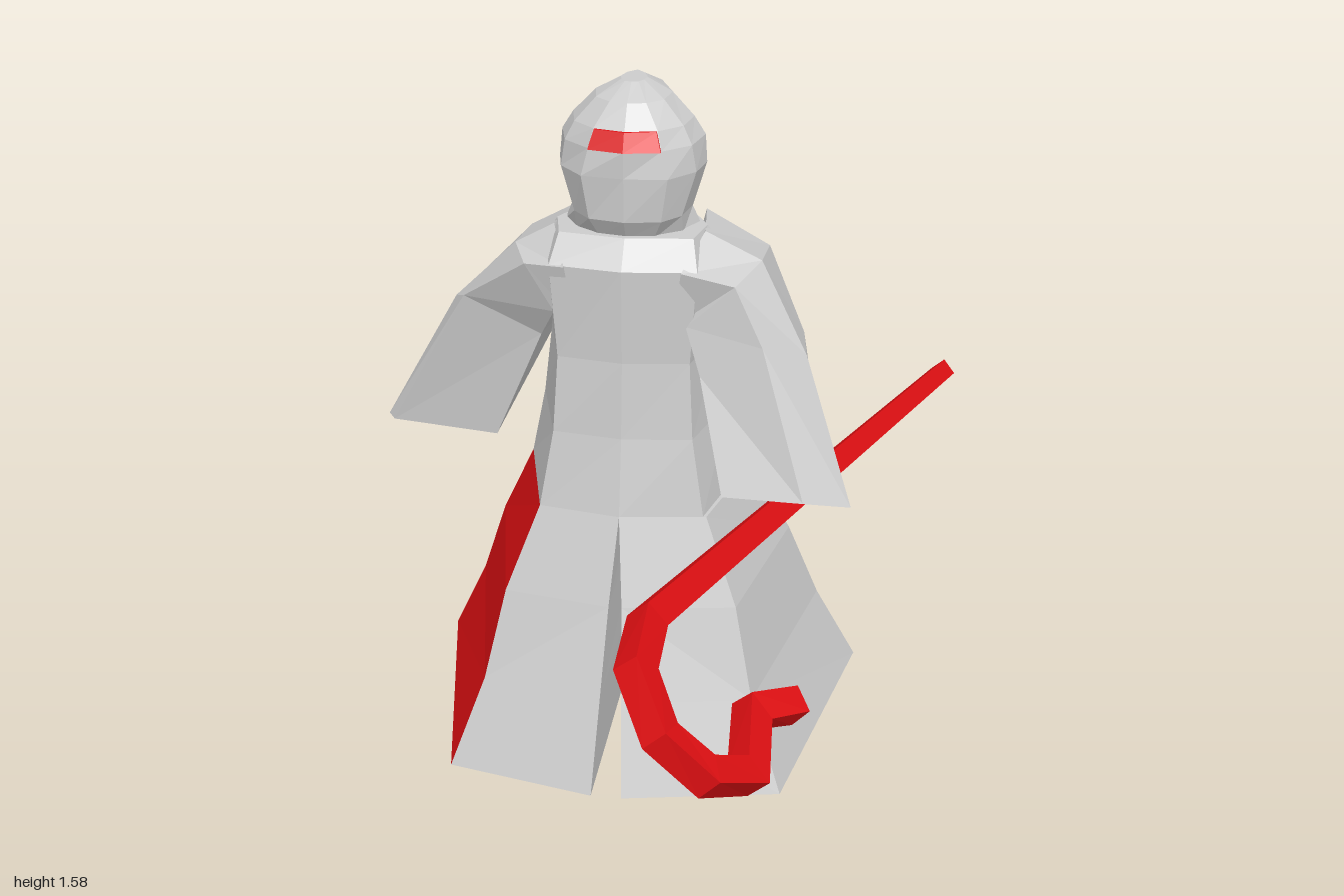
import * as THREE from 'three';

const AXIS = -0.08; // the figure stands a little to its right of the centre

// Skin a list of equal-length closed rings, with capped ends. Side `accentSide` uses the second material.
function loft(name, rings, materials, accentSide = -1) {
  const plain = [], accent = [];
  const n = rings[0].length;
  for (let r = 0; r < rings.length - 1; r++) {
    for (let i = 0; i < n; i++) {
      const j = (i + 1) % n;
      const [a, b, c, d] = [rings[r][i], rings[r][j], rings[r + 1][j], rings[r + 1][i]];
      (i === accentSide ? accent : plain).push([a, b, c], [a, c, d]);
    }
  }
  const cap = (ring, flip) => {
    const m = ring.reduce((s, p) => s.add(p), new THREE.Vector3()).divideScalar(n);
    ring.forEach((p, i) => {
      const q = ring[(i + 1) % n];
      plain.push(flip ? [m, q, p] : [m, p, q]);
    });
  };
  cap(rings[0], true);
  cap(rings[rings.length - 1], false);
  // Turn every face outward
  const tris = [...plain, ...accent];
  const volume = tris.reduce((s, [a, b, c]) => s + a.dot(b.clone().cross(c)), 0);
  if (volume < 0) tris.forEach((t) => t.reverse());
  const geo = new THREE.BufferGeometry().setFromPoints(tris.flat());
  geo.addGroup(0, plain.length * 3, 0);
  if (accent.length) geo.addGroup(plain.length * 3, accent.length * 3, 1);
  geo.computeVertexNormals();
  const mesh = new THREE.Mesh(geo, materials);
  mesh.name = name;
  return mesh;
}

const V = (p) => new THREE.Vector3(...p);

// Mirror a half outline [u, z] (front centre to back centre) into a full ring
function mirroredRing([y, ...half]) {
  const other = half.slice(1, -1).reverse().map(([u, z]) => [-u, z]);
  return [...half, ...other].map(([u, z]) => new THREE.Vector3(AXIS + u, y, z));
}

export function createModel() {
  const cloth = new THREE.MeshStandardMaterial({ color: 0xcccccc, flatShading: true });
  cloth.name = 'greyCloth';
  const red = new THREE.MeshStandardMaterial({ color: 0xdd0f12, flatShading: true, side: THREE.DoubleSide });
  red.name = 'red';
  const mats = [cloth, red];
  const model = new THREE.Group();
  model.name = 'hoodedFigure';

  // Upper robe
  const robe = [
    [0.62, [0, 0.10], [0.19, 0.07], [0.26, -0.20], [0.11, -0.36], [0, -0.36]],
    [0.80, [0, 0.06], [0.16, 0.04], [0.22, -0.17], [0.10, -0.32], [0, -0.32]],
    [0.98, [0, 0.04], [0.15, 0.02], [0.195, -0.15], [0.10, -0.28], [0, -0.28]],
    [1.20, [0, 0.04], [0.165, 0.02], [0.21, -0.13], [0.11, -0.29], [0, -0.29]],
    [1.26, [0, -0.01], [0.15, -0.03], [0.17, -0.12], [0.10, -0.25], [0, -0.25]],
  ];
  model.add(loft('upperRobe', robe.map(mirroredRing), mats));

  // Split skirt: inner front, outer front, outer back, back, inner back
  const skirt = [
    [0.62, [0, 0.10], [0.19, 0.07], [0.26, -0.20], [0.11, -0.36], [0, -0.36]],
    [0.42, [0.015, 0.17], [0.265, 0.13], [0.35, -0.26], [0.14, -0.41], [0.012, -0.41]],
    [0.21, [0.025, 0.25], [0.31, 0.19], [0.42, -0.31], [0.18, -0.45], [0.02, -0.45]],
    [0.00, [0.035, 0.33], [0.385, 0.26], [0.515, -0.36], [0.20, -0.49], [0.03, -0.49]],
  ];
  const half = (sx) => skirt.map(([y, ...pts]) => pts.map(([u, z]) => V([AXIS + sx * u, y, z])));
  model.add(loft('rightSkirt', half(-1), mats, 1)); // red outer panel
  model.add(loft('leftSkirt', half(1.04), mats));

  // Sleeves: front inner, front outer, outer, back outer, back inner
  const leftSleeve = [
    [[0.03, 1.06, 0.00], [0.05, 1.20, 0.03], [0.09, 1.26, -0.08], [0.07, 1.24, -0.27], [0.03, 1.05, -0.24]],
    [[0.06, 1.07, 0.02], [0.17, 1.18, 0.04], [0.22, 1.21, -0.05], [0.22, 1.17, -0.24], [0.09, 1.00, -0.23]],
    [[0.10, 0.98, 0.08], [0.24, 1.07, 0.11], [0.33, 1.02, 0.02], [0.31, 0.99, -0.17], [0.14, 0.92, -0.15]],
    [[0.17, 0.77, 0.24], [0.35, 0.79, 0.28], [0.45, 0.75, 0.21], [0.38, 0.69, -0.02], [0.21, 0.70, 0.00]],
  ];
  const rightSleeve = [
    [[-0.19, 1.06, 0.00], [-0.21, 1.20, 0.03], [-0.25, 1.26, -0.08], [-0.23, 1.24, -0.27], [-0.19, 1.05, -0.24]],
    [[-0.24, 1.08, 0.00], [-0.30, 1.20, 0.02], [-0.34, 1.21, -0.08], [-0.34, 1.18, -0.27], [-0.24, 1.02, -0.25]],
    [[-0.28, 1.00, -0.05], [-0.46, 1.08, -0.06], [-0.50, 1.04, -0.15], [-0.48, 1.03, -0.30], [-0.28, 0.95, -0.28]],
    [[-0.40, 0.72, -0.08], [-0.66, 0.72, -0.12], [-0.68, 0.72, -0.15], [-0.64, 0.70, -0.29], [-0.41, 0.70, -0.33]],
  ];
  model.add(loft('leftSleeve', leftSleeve.map((r) => r.map(V)), mats));
  model.add(loft('rightSleeve', rightSleeve.map((r) => r.map(V)), mats));

  // Hooded head: flat face in front, swept-back tip behind
  const hood = [
    [1.25, [0, -0.03], [0.06, -0.04], [0.12, -0.08], [0.155, -0.14], [0.10, -0.22], [0, -0.25]],
    [1.30, [0, 0.00], [0.08, -0.015], [0.12, -0.06], [0.135, -0.13], [0.10, -0.21], [0, -0.25]],
    [1.40, [0, 0.00], [0.095, -0.01], [0.15, -0.07], [0.165, -0.14], [0.12, -0.22], [0, -0.30]],
    [1.46, [0, 0.00], [0.08, -0.02], [0.14, -0.07], [0.16, -0.15], [0.10, -0.25], [0, -0.35]],
    [1.50, [0, -0.02], [0.07, -0.035], [0.12, -0.08], [0.135, -0.15], [0.08, -0.25], [0, -0.34]],
    [1.55, [0, -0.06], [0.04, -0.07], [0.075, -0.10], [0.085, -0.16], [0.05, -0.24], [0, -0.29]],
    [1.58, [0, -0.12], [0.015, -0.125], [0.025, -0.14], [0.03, -0.16], [0.02, -0.19], [0, -0.21]],
  ];
  model.add(loft('hoodedHead', hood.map(mirroredRing), mats));

  // Visor: thin strip wrapped over the face
  const visorRing = (y, w, z) => [
    [-w, z - 0.016], [0, z], [w, z - 0.016], [w, z - 0.022], [0, z - 0.006], [-w, z - 0.022],
  ].map(([u, d]) => V([AXIS + u, y, d]));
  model.add(loft('visor', [visorRing(1.46, 0.08, 0.006), visorRing(1.5, 0.068, -0.014)], [red, red]));

  // Hooked staff: square section swept along the path, thinner at the tail
  const path = [
    [0.64, 0.525, -0.99], [0.08, 0.75, 0.72], [0.08, 0.735, 0.87], [0.14, 0.65, 0.96],
    [0.23, 0.565, 0.96], [0.30, 0.50, 0.86], [0.29, 0.54, 0.70], [0.37, 0.50, 0.61],
  ].map(V);
  const hookNormal = V([0.75, 0.66, 0]).normalize();
  const staff = path.map((p, i) => {
    const prev = path[Math.max(i - 1, 0)], next = path[Math.min(i + 1, path.length - 1)];
    const dirIn = p.clone().sub(prev).normalize(), dirOut = next.clone().sub(p).normalize();
    const t = dirIn.clone().add(dirOut).normalize();
    const n = hookNormal.clone().addScaledVector(t, -hookNormal.dot(t)).normalize();
    const b = t.clone().cross(n);
    const s = i === 0 ? 0.023 : 0.03;
    const mitre = s / Math.max(t.dot(i ? dirIn : dirOut), 0.7);
    return [[1, 1], [-1, 1], [-1, -1], [1, -1]].map(([k, m]) =>
      p.clone().addScaledVector(n, k * s).addScaledVector(b, m * mitre));
  });
  model.add(loft('hookedStaff', staff, [red, red]));

  return model;
}
